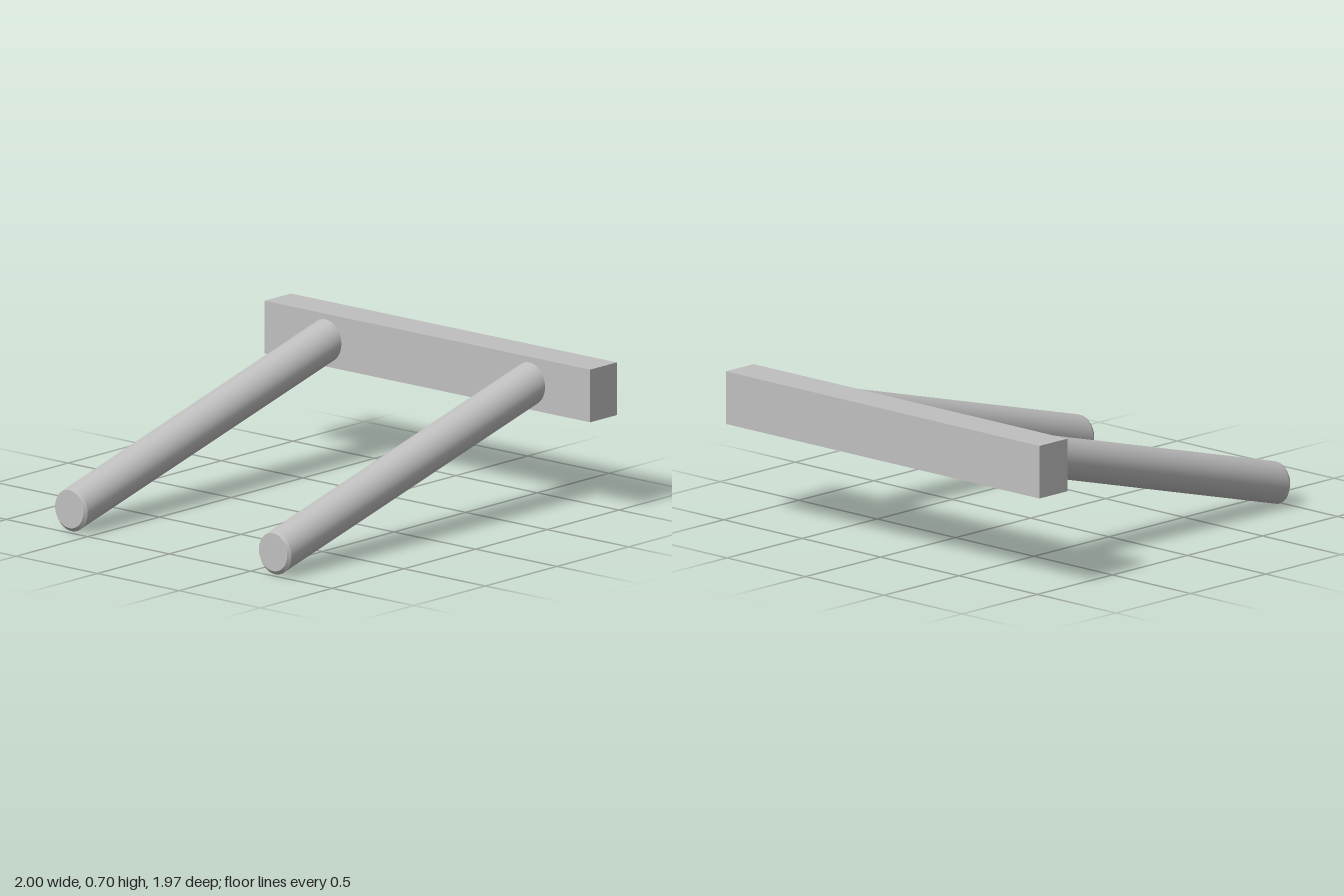
import * as THREE from 'three';

const SLOPE = -Math.tan(THREE.MathUtils.degToRad(15));
const RX = 0.098, RY = 0.101;

// Elliptical tube from zBack to zFront whose upright sections slide in y by slope.
function slantedTube(rBack, rFront, zBack, zFront, slope, yFront, open) {
  const length = zFront - zBack;
  const geo = new THREE.CylinderGeometry(rFront, rBack, length, 48, 1, open);
  geo.rotateX(Math.PI / 2);
  geo.scale(RX, RY, 1);
  geo.translate(0, 0, -length / 2);
  // shear along z; the matrix also corrects the normals
  geo.applyMatrix4(new THREE.Matrix4().set(
    1, 0, 0, 0,
    0, 1, slope, yFront,
    0, 0, 1, zFront,
    0, 0, 0, 1
  ));
  return geo;
}

export function createModel() {
  const model = new THREE.Group();
  model.name = 'slopedFrame';

  const grey = new THREE.MeshStandardMaterial({ color: 0xbfbfbf });
  grey.name = 'plain grey';

  // crossbar at the back
  const bar = new THREE.Mesh(new THREE.BoxGeometry(2, 0.25, 0.186), grey);
  bar.name = 'crossbar';
  bar.position.set(0, 0.58, -0.893);
  model.add(bar);

  // two sloping rods with upright, bevelled front ends
  const shaftGeo = slantedTube(1, 1, -0.82, 0.97, SLOPE, 0.103, true);
  const tipGeo = slantedTube(1, 0.89, 0.97, 0.986, 0.4, 0.109, false);
  for (const side of [1, -1]) {
    const rod = new THREE.Group();
    rod.name = side > 0 ? 'leftRod' : 'rightRod';
    const shaft = new THREE.Mesh(shaftGeo, grey);
    shaft.name = 'rodShaft';
    const tip = new THREE.Mesh(tipGeo, grey);
    tip.name = 'rodTip';
    rod.add(shaft, tip);
    rod.position.x = side * 0.625;
    model.add(rod);
  }

  return model;
}
